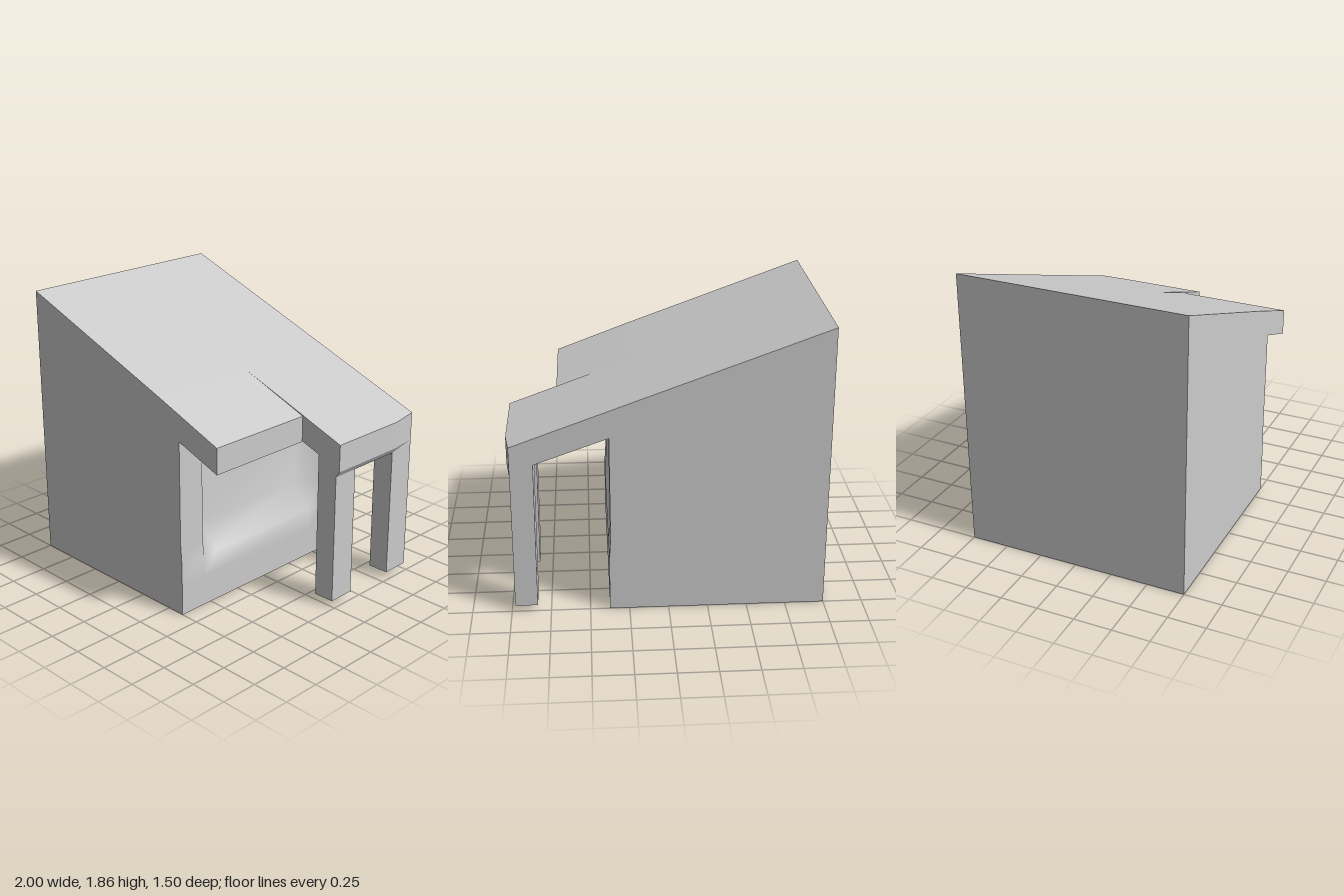
import * as THREE from 'three';

const HALF = 0.75;   // half depth of the building
const CORE = 0.2;    // x where the solid core ends and the wall relief begins
const roofY = x => 1.86 - 0.365 * (x + 1);
const soffitY = x => 1.185 - 0.355 * (x - 0.365);

export function createModel() {
  const group = new THREE.Group();
  const material = new THREE.MeshStandardMaterial({ color: 0xcccccc, side: THREE.DoubleSide });

  const add = (name, geometry) => {
    const mesh = new THREE.Mesh(geometry, material);
    mesh.name = name;
    group.add(mesh);
    return mesh;
  };
  const shapeOf = points => new THREE.Shape(points.map(p => new THREE.Vector2(...p)));
  const prism = (points, z0, z1) =>
    new THREE.ExtrudeGeometry(shapeOf(points), { depth: z1 - z0, bevelEnabled: false }).translate(0, 0, z0);

  // Solid core under the sloping roof
  add('body', prism([[-1, 0], [CORE, 0], [CORE, roofY(CORE)], [-1, 1.86]], -HALF, HALF));

  // Short overhang over the front half
  add('frontOverhang', prism(
    [[CORE, soffitY(CORE)], [0.69, 1.065], [0.69, 1.237], [CORE, roofY(CORE)]], 0, HALF));

  // Long porch roof with its beam over the back half; the last stretch tapers at the corner
  const porch = [[CORE, soffitY(CORE)], [0.83, 1.02], [0.83, 0.91], [0.975, 0.91],
    [1, 0.95], [1, 1.13], [CORE, roofY(CORE)]];
  add('porchRoof', prism(porch, -0.56, 0));
  const corner = prism(porch, -HALF, -0.56);
  const pos = corner.attributes.position;
  for (let i = 0; i < pos.count; i++) {
    if (pos.getX(i) > 0.99 && pos.getZ(i) < -0.7) {
      pos.setX(i, 0.975);
      if (pos.getY(i) > 1) pos.setY(i, 1.139);
    }
  }
  corner.computeVertexNormals();
  add('porchRoofCorner', corner);

  // Porch posts, stopping just above the ground
  for (const [name, z0, z1] of [['frontPost', -0.185, 0], ['backPost', -HALF, -0.56]]) {
    add(name, prism([[0.835, 0.04], [0.978, 0.042], [0.975, 0.91], [0.83, 0.91]], z0, z1));
  }

  // Entrance wall: a softly edged recess that rises to the soffit
  const zs = [HALF, 0.56, 0.45, -0.45, -0.56, -HALF];
  const ys = [null, 0.5, 0.35, 0.2, 0];   // top row follows the soffit
  const wall = new THREE.PlaneGeometry(1, 1, zs.length - 1, ys.length - 1);
  ys.forEach((y, row) => zs.forEach((z, col) => {
    const recessed = row < 2 && Math.abs(z) < 0.5;
    const x = recessed ? 0.225 : row < 2 ? 0.365 : 0.375;
    wall.attributes.position.setXYZ(row * zs.length + col, x, y ?? soffitY(x), z);
  }));
  wall.computeVertexNormals();
  add('entranceWall', wall);

  // Cheeks and underside joining the wall to the core
  const cheek = [[CORE, 0], [0.375, 0], [0.375, 0.35], [0.365, 0.5], [0.365, soffitY(0.365)], [CORE, soffitY(CORE)]];
  for (const side of [1, -1]) {
    const mesh = add(side > 0 ? 'frontCheek' : 'backCheek', new THREE.ShapeGeometry(shapeOf(cheek)));
    if (side < 0) {
      // Mirror the panel so that it faces backwards
      mesh.geometry.translate(-CORE, 0, 0).rotateY(Math.PI).scale(-1, 1, 1).translate(CORE, 0, 0);
      const index = mesh.geometry.index.array;
      for (let i = 0; i < index.length; i += 3) [index[i], index[i + 1]] = [index[i + 1], index[i]];
      mesh.geometry.computeVertexNormals();
    }
    mesh.position.z = side * HALF;
  }
  const floor = new THREE.PlaneGeometry(0.375 - CORE, 2 * HALF).rotateX(Math.PI / 2);
  add('underside', floor.translate((0.375 + CORE) / 2, 0, 0));

  return group;
}
